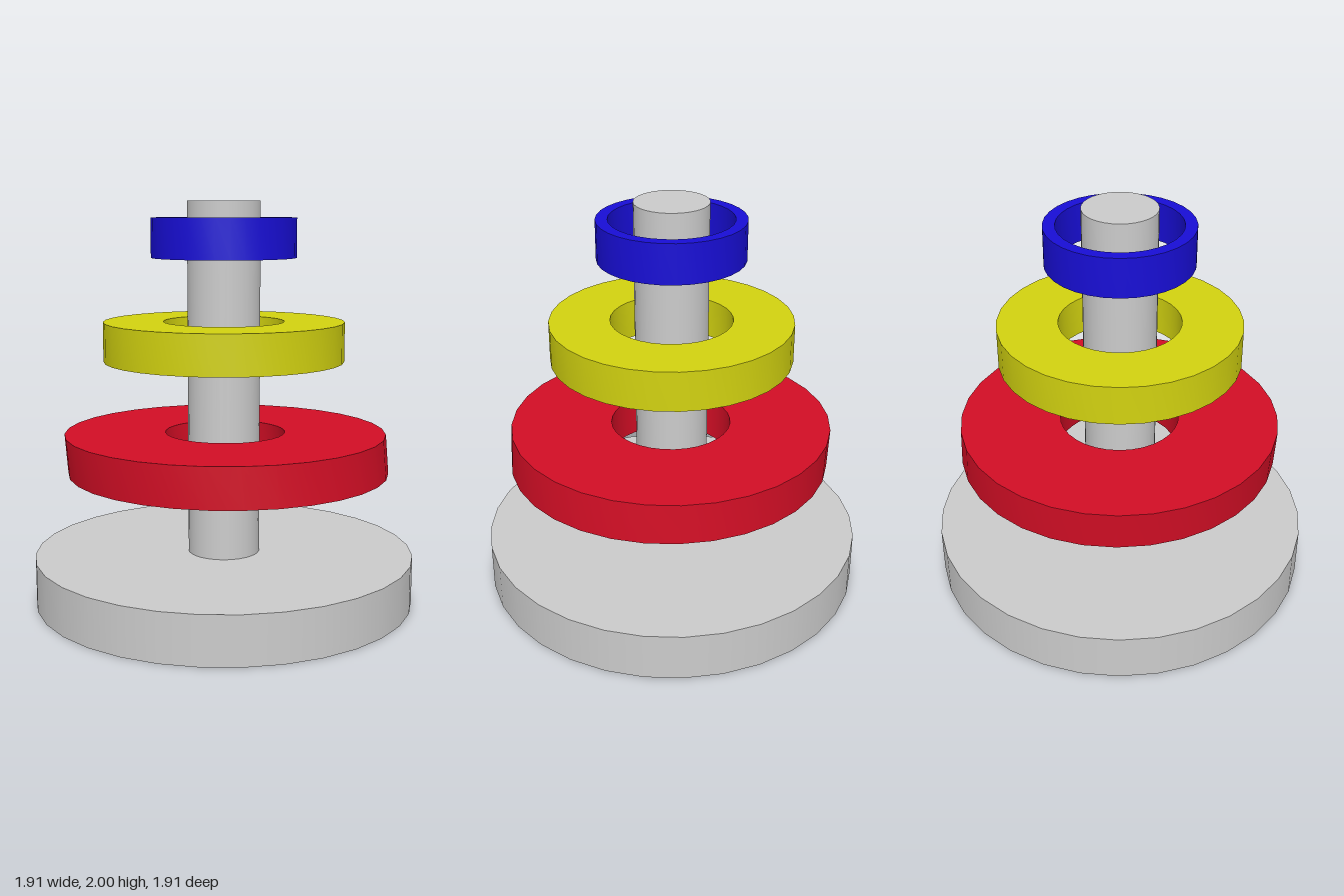
import * as THREE from 'three';
import { toCreasedNormals } from 'three/addons/utils/BufferGeometryUtils.js';

const SIDES = 32;

function addPart(group, name, geometry, color) {
  const mesh = new THREE.Mesh(geometry, new THREE.MeshStandardMaterial({ color }));
  mesh.name = name;
  group.add(mesh);
  return mesh;
}

// Flat-walled ring around the post; lean slides its lower edge toward +x
function ringGeometry(inner, outer, y0, y1, lean = 0) {
  const profile = [[inner, y0], [outer, y0], [outer, y1], [inner, y1], [inner, y0]]
    .map(([r, y]) => new THREE.Vector2(r, y));
  const geometry = new THREE.LatheGeometry(profile, SIDES);
  const p = geometry.attributes.position;
  for (let i = 0; i < p.count; i++) {
    const t = (y1 - p.getY(i)) / (y1 - y0);
    p.setX(i, p.getX(i) + lean * (0.4 + t));
  }
  return toCreasedNormals(geometry, 0.6);
}

export function createModel() {
  const group = new THREE.Group();
  group.name = 'stackingRings';

  // Base disc and upright post
  addPart(group, 'base', new THREE.CylinderGeometry(0.955, 0.955, 0.24, SIDES), 0xcccccc)
    .position.y = 0.12;
  addPart(group, 'post', new THREE.CylinderGeometry(0.18, 0.18, 1.76, SIDES), 0xcccccc)
    .position.y = 1.12;

  // Rings, from largest to smallest
  addPart(group, 'largeRing', ringGeometry(0.3, 0.803, 0.66, 0.857, 0.016), 0xd20e25);
  addPart(group, 'middleRing', ringGeometry(0.3, 0.597, 1.217, 1.413), 0xd2d210);
  addPart(group, 'smallRing', ringGeometry(0.3, 0.358, 1.725, 1.92), 0x180ed6);

  return group;
}
